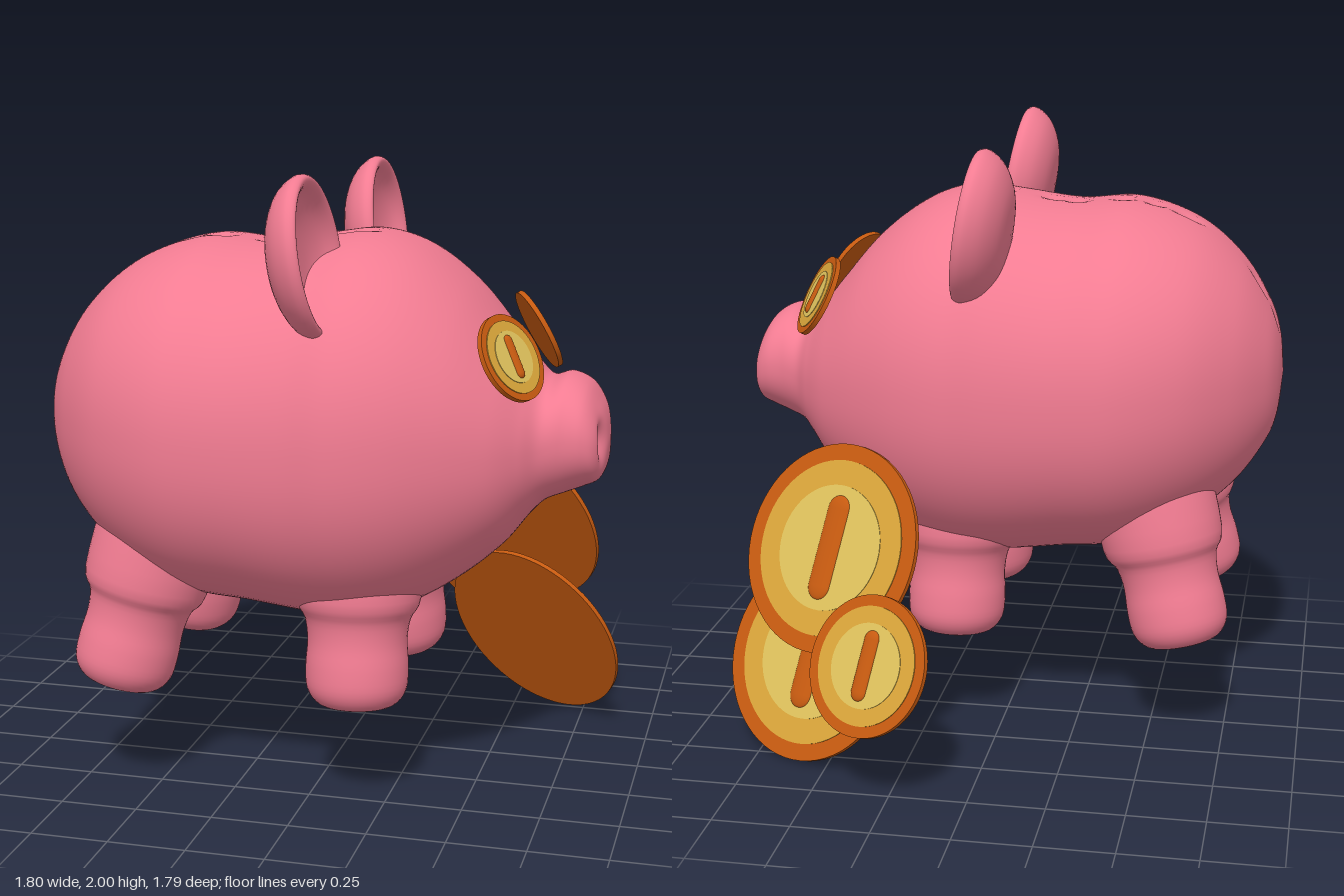
import * as THREE from 'three';

const mat = (color, side = THREE.FrontSide) => new THREE.MeshStandardMaterial({ color, side });
const pink = mat(0xf27c92);
const orange = mat(0xc65a10), gold = mat(0xd9a53a), paleGold = mat(0xdfc25c);
const MID = 0.2; // z of the pig's plane of symmetry

function add(parent, name, geometry, material) {
  const mesh = new THREE.Mesh(geometry, material);
  mesh.name = name;
  parent.add(mesh);
  return mesh;
}

// Body and snout in one loft along x: [x, top y, bottom y, half width]
const SECTIONS = [
  [-0.9, 1.2, 1.2, 0], [-0.885, 1.33, 1.06, 0.16], [-0.845, 1.44, 0.96, 0.28],
  [-0.75, 1.58, 0.83, 0.43], [-0.6, 1.7, 0.71, 0.57], [-0.4, 1.765, 0.62, 0.655],
  [-0.2, 1.755, 0.595, 0.652], [0, 1.78, 0.57, 0.647], [0.15, 1.795, 0.575, 0.66],
  [0.3, 1.75, 0.62, 0.62], [0.45, 1.64, 0.71, 0.535], [0.58, 1.49, 0.82, 0.43],
  [0.66, 1.39, 0.92, 0.335], [0.71, 1.355, 0.97, 0.27], [0.77, 1.37, 0.995, 0.235],
  [0.83, 1.345, 1.02, 0.22], [0.87, 1.29, 1.04, 0.19], [0.89, 1.24, 1.08, 0.13],
  [0.9, 1.17, 1.17, 0],
];

// Dents of the worn slot on the back: [x, half length]
const DENTS = [[-0.87, 0.012], [-0.81, 0.03], [-0.57, 0.045], [-0.46, 0.025], [-0.36, 0.03],
  [-0.2, 0.03], [-0.12, 0.03], [0.05, 0.03], [0.12, 0.03]];

function bodyGeometry() {
  const outline = new THREE.CatmullRomCurve3(SECTIONS.map(([x, t, b]) => new THREE.Vector3(x, t, b)), false, 'catmullrom');
  const widths = new THREE.CatmullRomCurve3(SECTIONS.map(([x, , , w]) => new THREE.Vector3(x, w, 0)), false, 'catmullrom');
  const rings = 180, sides = 128, pos = [], index = [];
  const power = (v) => Math.sign(v) * Math.pow(Math.abs(v), 2 / 2.2);
  for (let i = 0; i <= rings; i++) {
    const o = outline.getPoint(i / rings), w = widths.getPoint(i / rings).y;
    const cy = (o.y + o.z) / 2, ry = (o.y - o.z) / 2;
    for (let j = 0; j < sides; j++) {
      const u = (j / sides) * Math.PI * 2;
      const a = u - 0.4 * Math.sin(u); // finer along the spine
      let x = o.x, y = cy + ry * power(Math.cos(a)), z = w * power(Math.sin(a));
      // slot dents
      if (y > cy && x < 0.2) {
        let d = 0;
        for (const [dx, len] of DENTS) d += Math.exp(-(((x - dx) / len) ** 2));
        y -= 0.018 * Math.min(d, 1) * Math.exp(-((z / 0.025) ** 2));
      }
      // nostrils
      if (x > 0.82) {
        const d2 = (Math.abs(z) - 0.11) ** 2 / 0.0012 + (y - 1.18) ** 2 / 0.0025;
        x -= 0.035 * Math.exp(-d2);
      }
      pos.push(x, y, z + MID);
    }
  }
  for (let i = 0; i < rings; i++) {
    for (let j = 0; j < sides; j++) {
      const k = (j + 1) % sides;
      const a = i * sides + j, b = i * sides + k;
      index.push(a, b, a + sides, b, b + sides, a + sides);
    }
  }
  const g = new THREE.BufferGeometry();
  g.setAttribute('position', new THREE.Float32BufferAttribute(pos, 3));
  g.setIndex(index);
  g.computeVertexNormals();
  return g;
}

// Smooth lathe through a few profile points [radius, height]
function smoothLathe(points, steps = 32, sides = 48) {
  const curve = new THREE.SplineCurve(points.map(([r, h]) => new THREE.Vector2(r, h)));
  const profile = curve.getPoints(steps);
  profile.forEach((p) => { p.x = Math.max(0, p.x); });
  return new THREE.LatheGeometry(profile, sides);
}

// Stubby leg from the foot up into the belly, flaring where it joins
function leg(name, foot, hip) {
  const from = new THREE.Vector3(...foot), to = new THREE.Vector3(...hip);
  const dir = to.clone().sub(from), h = dir.length();
  const g = smoothLathe([[0, 0], [0.07, 0.002], [0.125, 0.018], [0.158, 0.065], [0.163, 0.14],
    [0.158, 0.22], [0.168, 0.29], [0.2, 0.36], [0.2, h]]);
  const mesh = new THREE.Mesh(g, pink);
  mesh.name = name;
  mesh.position.copy(from);
  mesh.quaternion.setFromUnitVectors(new THREE.Vector3(0, 1, 0), dir.normalize());
  return mesh;
}

// Cupped ear, hollow side forward, tilted outwards by side
function ear(name, side, y, z) {
  const g = smoothLathe([[0, -0.075], [0.12, -0.065], [0.2, -0.025], [0.238, 0.03], [0.232, 0.062],
    [0.21, 0.06], [0.17, 0.02], [0.1, -0.005], [0, -0.012]]);
  g.rotateZ(-Math.PI / 2);
  g.scale(1, 1.08, 1);
  const mesh = new THREE.Mesh(g, pink);
  mesh.name = name;
  mesh.position.set(0.02, y, z);
  mesh.rotation.set(side * 0.6, 0, 0.15, 'ZXY');
  return mesh;
}

// Coin facing along a normal: rim disc, two stepped faces and a plain embossed bar
function coin(name, radius, position, normal) {
  const group = new THREE.Group();
  group.name = name;
  const disc = (part, r, depth, z, m) =>
    add(group, part, new THREE.CylinderGeometry(r, r, depth, 64).rotateX(Math.PI / 2).translate(0, 0, z), m);
  disc('coinRim', radius, 0.016, 0, orange);
  disc('coinFace', radius * 0.84, 0.004, 0.009, gold);
  disc('coinCentre', radius * 0.6, 0.004, 0.011, paleGold);
  const bar = add(group, 'embossedBar', new THREE.CapsuleGeometry(radius * 0.13, radius * 0.75, 6, 20), orange);
  bar.scale.z = 0.012 / (radius * 0.13);
  bar.position.z = 0.011;
  group.position.set(...position);
  group.lookAt(new THREE.Vector3(...position).add(new THREE.Vector3(...normal)));
  return group;
}

export function createModel() {
  const model = new THREE.Group();
  model.name = 'piggyBank';
  add(model, 'bodyAndSnout', bodyGeometry(), pink);

  // Mirrored legs and coin eyes
  for (const [label, s] of [['left', -1], ['right', 1]]) {
    model.add(leg(`${label}FrontLeg`, [0.16, 0.32, MID + s * 0.31], [0.15, 0.86, MID + s * 0.24]));
    model.add(leg(`${label}RearLeg`, [-0.62, 0.345, MID + s * 0.36], [-0.48, 0.92, MID + s * 0.27]));
    model.add(coin(`${label}CoinEye`, 0.138, [0.625, 1.455, MID + s * 0.265], [0.8, 0.46, s * 0.38]));
  }

  model.add(ear('rightEar', 1, 1.75, 0.645));
  model.add(ear('leftEar', -1, 1.725, -0.265));

  // Loose coins beside the pig
  const facing = [0.41, 0.41, -0.81];
  model.add(coin('upperCoin', 0.34, [0.495, 0.715, -0.46], facing));
  model.add(coin('lowerCoin', 0.34, [0.58, 0.315, -0.415], facing));
  model.add(coin('smallCoin', 0.222, [0.305, 0.445, -0.765], facing));
  return model;
}
